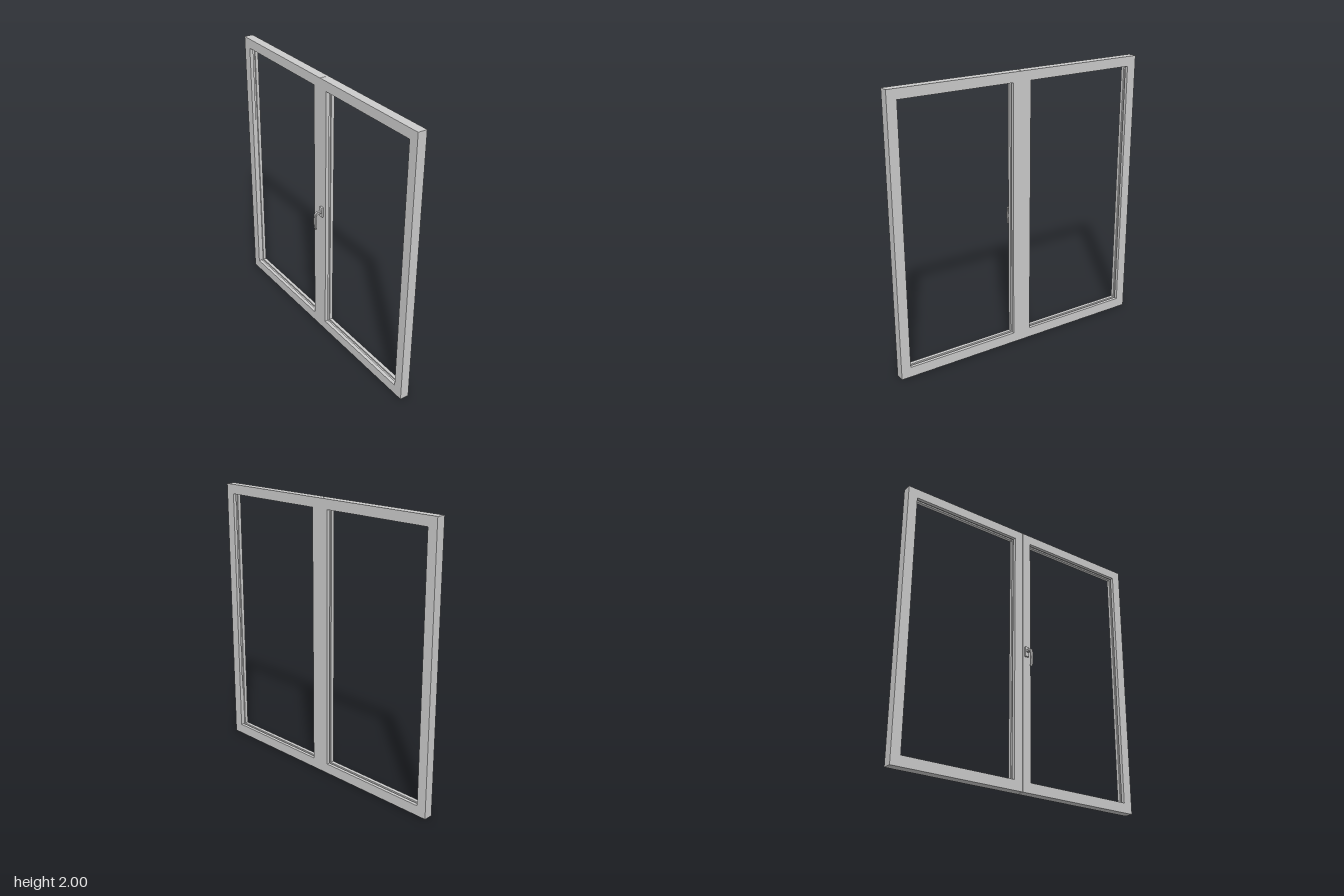
import * as THREE from 'three';

const grey = new THREE.MeshStandardMaterial({ color: 0xcccccc, flatShading: true });
const smooth = new THREE.MeshStandardMaterial({ color: 0xcccccc });

const W = 0.985, H = 2; // half width and height
const IN = 0.07, OUT = 0.915, LOW = 0.073, TOP = 1.93; // pane opening

function rect(path, u0, v0, u1, v1) {
  path.moveTo(u0, v0);
  path.lineTo(u1, v0);
  path.lineTo(u1, v1);
  path.lineTo(u0, v1);
  path.closePath();
  return path;
}

// Slab facing along x from x0 to x1, with rectangular openings
function slab(name, outer, openings, x0, x1) {
  const shape = rect(new THREE.Shape(), ...outer);
  for (const o of openings) shape.holes.push(rect(new THREE.Path(), ...o));
  const geo = new THREE.ExtrudeGeometry(shape, { depth: x1 - x0, bevelEnabled: false });
  geo.rotateY(Math.PI / 2);
  geo.translate(x0, 0, 0);
  const mesh = new THREE.Mesh(geo, grey);
  mesh.name = name;
  return mesh;
}

// Opening on one side of the mullion, widened by g
function opening(side, g) {
  const a = side * (IN - g), b = side * (OUT + g);
  return [Math.min(a, b), LOW - g, Math.max(a, b), TOP + g];
}

function createHandle() {
  const handle = new THREE.Group();
  handle.name = 'handle';

  const plate = new THREE.Mesh(new THREE.BoxGeometry(0.014, 0.074, 0.032), grey);
  plate.name = 'handlePlate';
  plate.position.set(-0.007, 1.017, 0);
  handle.add(plate);

  // Neck and curved grip as one bent bar
  const s = new THREE.Shape();
  s.moveTo(-0.012, 1.03);
  s.lineTo(-0.048, 1.027);
  s.quadraticCurveTo(-0.06, 1.026, -0.064, 1.008);
  s.quadraticCurveTo(-0.075, 0.945, -0.061, 0.89);
  s.lineTo(-0.051, 0.893);
  s.quadraticCurveTo(-0.062, 0.95, -0.052, 0.999);
  s.quadraticCurveTo(-0.05, 1.009, -0.04, 1.009);
  s.lineTo(-0.012, 1.011);
  s.closePath();
  const geo = new THREE.ExtrudeGeometry(s, {
    depth: 0.016, bevelEnabled: true, bevelThickness: 0.003, bevelSize: 0.003,
    bevelOffset: -0.003, bevelSegments: 1, curveSegments: 8,
  });
  geo.translate(0, 0, -0.008);
  const lever = new THREE.Mesh(geo, smooth);
  lever.name = 'handleLever';
  handle.add(lever);

  handle.position.z = 0.03;
  return handle;
}

export function createModel() {
  const model = new THREE.Group();
  model.name = 'doubleWindow';

  // Outer face, one piece over both panes
  model.add(slab('outerFrame', [-W, 0, W, H], [opening(-1, 0), opening(1, 0)], 0.042, 0.066));

  // Two sashes meeting at a narrow seam, with a glazing groove round each pane
  for (const side of [-1, 1]) {
    const sash = new THREE.Group();
    sash.name = side < 0 ? 'handleSash' : 'plainSash';
    const a = side * 0.0015, b = side * W;
    const edge = [Math.min(a, b), 0, Math.max(a, b), H];
    sash.add(slab('glazingGroove', edge, [opening(side, 0.01)], 0.026, 0.042));
    sash.add(slab('innerFrame', edge, [opening(side, 0)], 0, 0.026));
    model.add(sash);
  }

  model.add(createHandle());
  return model;
}
